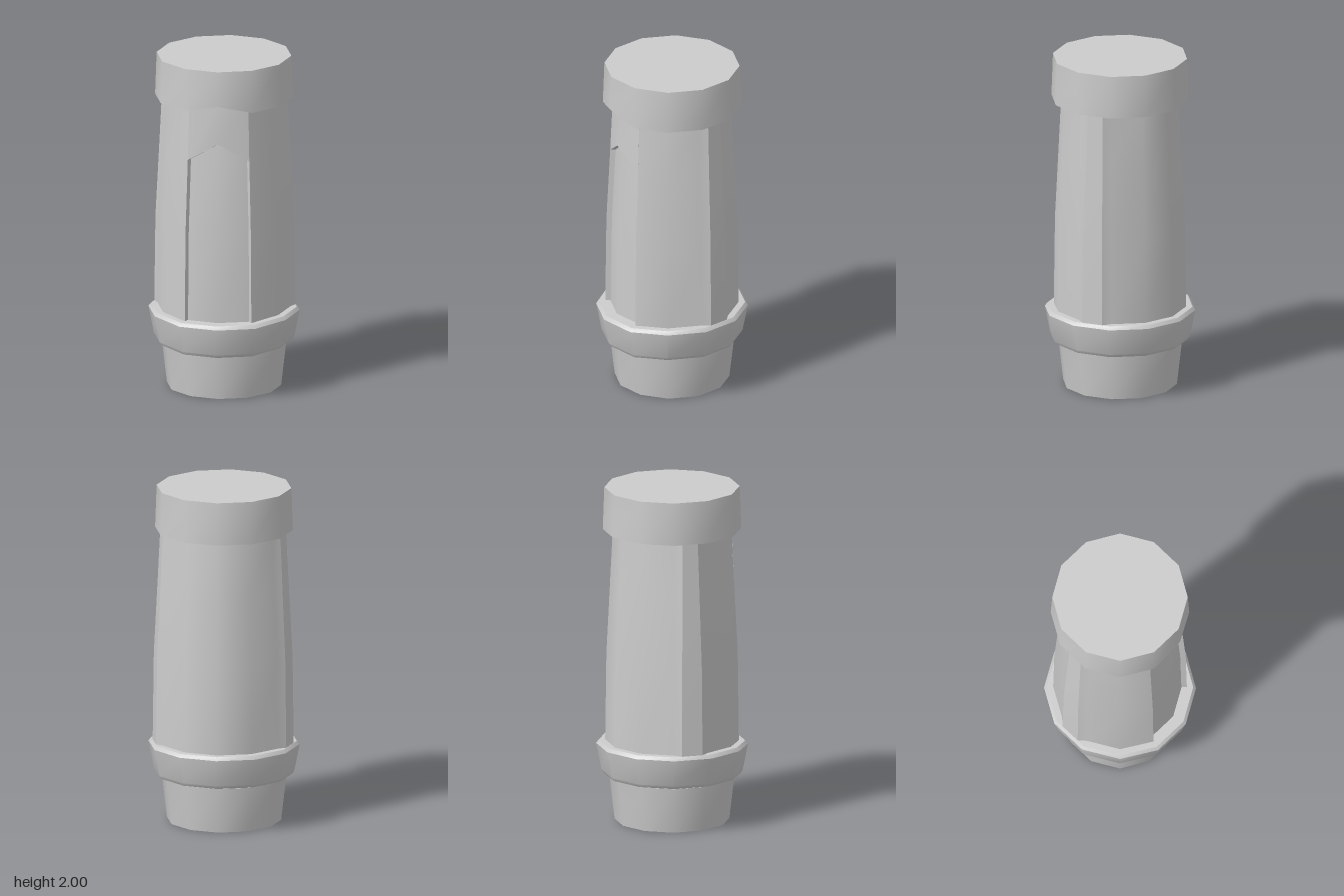
import * as THREE from 'three';
import { toCreasedNormals } from 'three/addons/utils/BufferGeometryUtils.js';

const SIDES = 12;
const material = new THREE.MeshStandardMaterial({ color: 0xcccccc, side: THREE.DoubleSide });

// corner k of the twelve-sided cross-section
const corner = (k, r, y) => {
  const a = THREE.MathUtils.degToRad(13.2 + 30 * k);
  return [r * Math.cos(a), y, r * Math.sin(a)];
};

// skin a stack of equally long point rows, bottom to top
function loft(name, rows) {
  const n = rows[0].length;
  const index = [];
  for (let i = 0; i < rows.length - 1; i++) {
    for (let j = 0; j < n - 1; j++) {
      const a = i * n + j, b = a + n;
      index.push(a, b, a + 1, a + 1, b, b + 1);
    }
  }
  const geo = new THREE.BufferGeometry();
  geo.setAttribute('position', new THREE.Float32BufferAttribute(rows.flat(2), 3));
  geo.setIndex(index);
  const mesh = new THREE.Mesh(toCreasedNormals(geo, 0.6), material);
  mesh.name = name;
  return mesh;
}

// full turn from a profile of [radius, y]; shift(k, y) moves single corners up or down
function turned(name, profile, shift = () => 0) {
  return loft(name, profile.map(([r, y]) =>
    Array.from({ length: SIDES + 1 }, (_, k) => corner(k, r, y + shift(k % SIDES, y)))));
}

export function createModel() {
  const group = new THREE.Group();

  // hollow tapered foot, closed by a ceiling inside
  group.add(turned('foot', [[0.335, 0], [0.366, 0.27], [0, 0.27]]));

  // bevelled collar, slightly lower below the recess
  group.add(turned('collar',
    [[0.36, 0.28], [0.4, 0.28], [0.412, 0.298], [0.443, 0.458], [0.427, 0.478], [0.36, 0.48]],
    (k) => (k >= 3 && k <= 5 ? -0.012 : 0)));

  // cap with its lower edge notched upwards above the recess
  group.add(turned('cap',
    [[0.32, 1.747], [0.404, 1.747], [0.395, 2], [0, 2]],
    (k, y) => (k === 4 && y < 1.9 ? 0.045 : 0)));

  // body profile
  const profile = [[0.39, 0.46], [0.383, 1.0], [0.361, 1.44], [0.345, 1.77]];
  const depth = 0.032;

  // raised rib standing on the facet between corners k and k + 1
  const ribPoints = (k, r, y) => {
    const a = THREE.MathUtils.degToRad(28.2 + 30 * k);
    const out = r * Math.cos(Math.PI / 12) + 0.035;
    const half = 0.046 + (r - 0.345) * 0.36;
    return [-half, half].map((t) => [
      out * Math.cos(a) - t * Math.sin(a), y, out * Math.sin(a) + t * Math.cos(a)]);
  };

  // ten-facet shell with two ribs, open where the recess sits
  group.add(loft('ribbedBody', profile.map(([r, y]) => {
    const row = [];
    for (let k = 5; k <= 15; k++) {
      row.push(corner(k, r, y));
      if (k === 7 || k === 12) row.push(...ribPoints(k, r, y));
    }
    return row;
  })));

  // recess floor, pointed ledge and the wall above it
  const across = (radii, ys) => [3, 4, 5].map((k, i) => corner(k, radii[i], ys[i]));
  const arch = [1.44, 1.55, 1.44];
  const archRadii = [0.361, 0.356, 0.361];
  const flat = (r, y) => across([r, r, r], [y, y, y]);
  group.add(loft('recess', [
    flat(0.39 - depth, 0.46),
    flat(0.383 - depth, 1.0),
    across(archRadii.map((r) => r - depth), arch),
    across(archRadii, arch),
    flat(0.345, 1.8),
  ]));

  // side walls of the recess
  for (const k of [3, 5]) {
    const wall = profile.slice(0, 3).map(([r, y]) => {
      const ends = [corner(k, r - depth, y), corner(k, r, y)];
      return k === 3 ? ends.reverse() : ends;
    });
    group.add(loft(k === 3 ? 'recessWallLeft' : 'recessWallRight', wall));
  }

  return group;
}
